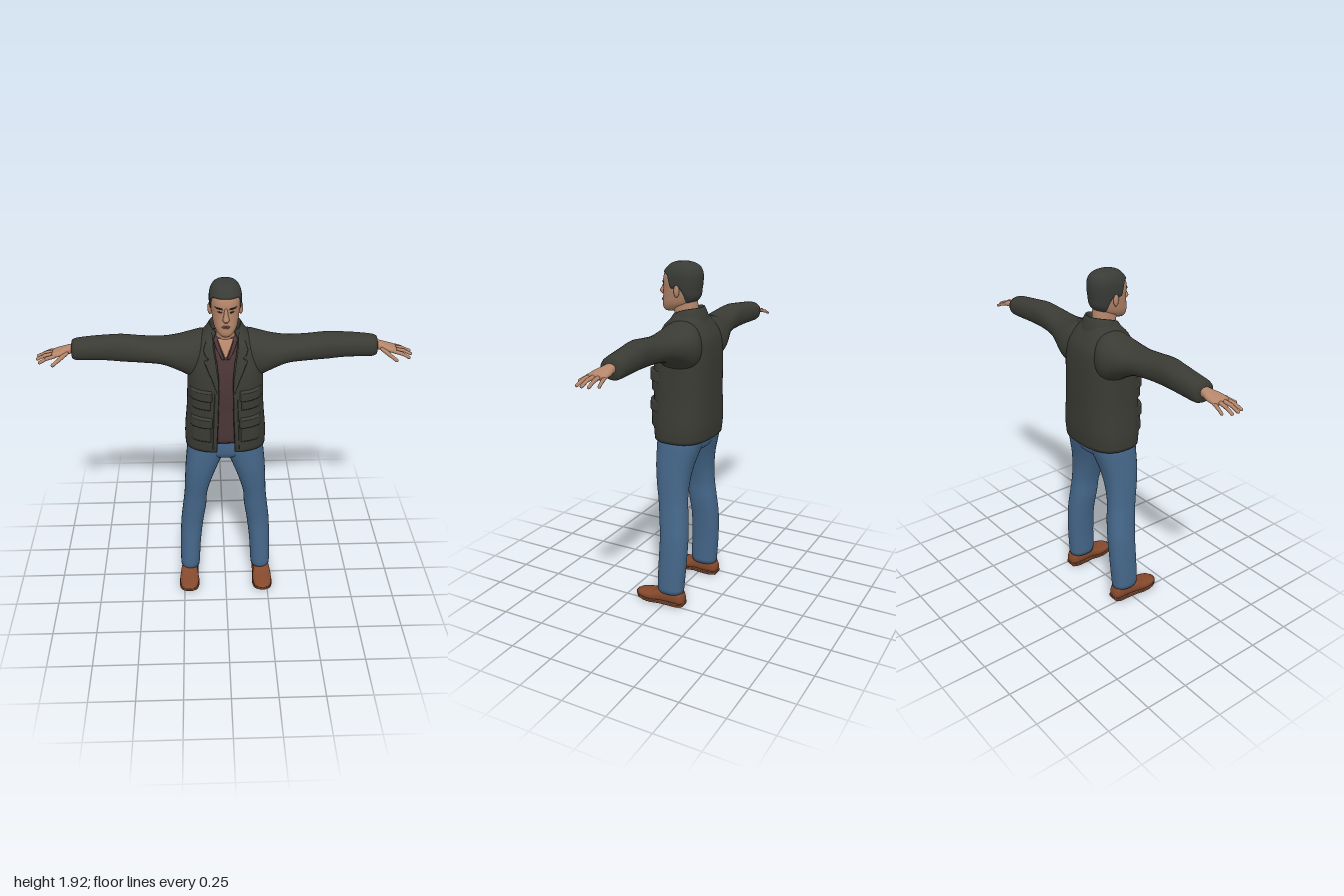
import * as THREE from 'three';
import { mergeVertices } from 'three/addons/utils/BufferGeometryUtils.js';

const { lerp, clamp } = THREE.MathUtils;
const TAU = Math.PI * 2;
const mat = (name, color) => Object.assign(
  new THREE.MeshStandardMaterial({ color, side: THREE.DoubleSide }), { name });

// Smooth surface from a rule fn(u, v) -> [x, y, z]
function grid(fn, nu, nv) {
  const pos = [], idx = [];
  for (let j = 0; j <= nv; j++)
    for (let i = 0; i <= nu; i++) pos.push(...fn(i / nu, j / nv));
  for (let j = 0; j < nv; j++)
    for (let i = 0; i < nu; i++) {
      const a = j * (nu + 1) + i, b = a + 1, c = a + nu + 1, d = c + 1;
      idx.push(a, b, d, a, d, c);
    }
  let g = new THREE.BufferGeometry();
  g.setAttribute('position', new THREE.Float32BufferAttribute(pos, 3));
  g.setIndex(idx);
  g = mergeVertices(g, 1e-5);
  g.computeVertexNormals();
  return g;
}

// Cubic interpolation of rows [t, ...values] at t
function sample(rows, t) {
  const last = rows.length - 1;
  t = clamp(t, rows[0][0], rows[last][0]);
  let i = 0;
  while (i < last - 1 && t > rows[i + 1][0]) i++;
  const p = rows[i], q = rows[i + 1], h = q[0] - p[0], s = (t - p[0]) / h;
  const slope = (k, c) => {
    const a = rows[Math.max(k - 1, 0)], b = rows[Math.min(k + 1, last)];
    return (b[c] - a[c]) / (b[0] - a[0]);
  };
  return p.slice(1).map((v, k) => {
    const c = k + 1, s2 = s * s, s3 = s2 * s;
    return v * (2 * s3 - 3 * s2 + 1) + q[c] * (3 * s2 - 2 * s3)
      + h * (slope(i, c) * (s3 - 2 * s2 + s) + slope(i + 1, c) * (s3 - s2));
  });
}

// Body surface through cross-sections [t, a0, a1, b0, b1], rounded by power n
function surface(rings, n) {
  const pw = (v) => Math.sign(v) * Math.abs(v) ** (2 / n);
  return {
    at(th, t, grow = 0, k = 1) {
      const [a0, a1, b0, b1] = sample(rings, t);
      return [(a0 + a1) / 2 + k * ((a1 - a0) / 2 + grow) * pw(Math.sin(th)),
        (b0 + b1) / 2 + k * ((b1 - b0) / 2 + grow) * pw(Math.cos(th))];
    },
    front(x, y) {
      const [a0, a1, b0, b1] = sample(rings, y);
      const r = Math.min(Math.abs(x - (a0 + a1) / 2) / ((a1 - a0) / 2), 0.995);
      return (b0 + b1) / 2 + (b1 - b0) / 2 * (1 - r ** n) ** (1 / n);
    },
    edgeAngle(x, y) {
      return Math.asin((x / sample(rings, y)[1]) ** (n / 2));
    },
  };
}

// Closed loft along an axis with capped ends
function loft(axis, rings, n = 2.2, nu = 32, nv = 34, grow = 0) {
  const s = surface(rings, n), t0 = rings[0][0], t1 = rings[rings.length - 1][0];
  return grid((u, v) => {
    const j = Math.round(v * nv), k = j === 0 || j === nv ? 0 : 1;
    const t = lerp(t0, t1, clamp((j - 1) / (nv - 2), 0, 1));
    const [a, b] = s.at(axis === 'z' ? -u * TAU : u * TAU, t, grow, k);
    return axis === 'y' ? [a, t, b] : axis === 'x' ? [t, b, a] : [a, b, t];
  }, nu, nv);
}

// Thin plate following the front of a surface, rows [y, x0, x1] upward
function plate(surf, rows, h, sink = 0.004, res = 18) {
  const y0 = rows[0][0], y1 = rows[rows.length - 1][0];
  return grid((u, v) => {
    const y = lerp(y0, y1, v);
    let i = 0;
    while (i < rows.length - 2 && y > rows[i + 1][0]) i++;
    const p = rows[i], q = rows[i + 1], f = (y - p[0]) / (q[0] - p[0]);
    const x = lerp(lerp(p[1], q[1], f), lerp(p[2], q[2], f), u);
    const e = clamp(9 * Math.min(u, 1 - u, v, 1 - v), 0, 1);
    return [x, y, surf.front(x, y) + lerp(-sink, h, e)];
  }, res, res);
}

// Rounded rod between two points
function rod(a, b, r) {
  const p = new THREE.Vector3(...a), q = new THREE.Vector3(...b), d = q.clone().sub(p);
  const g = new THREE.CapsuleGeometry(r, d.length(), 5, 10);
  g.applyQuaternion(new THREE.Quaternion().setFromUnitVectors(
    new THREE.Vector3(0, 1, 0), d.clone().normalize()));
  return g.translate(...p.add(q).multiplyScalar(0.5).toArray());
}

export function createModel() {
  const model = new THREE.Group();
  model.name = 'standingMan';
  const skin = mat('skin', 0xb5866a), lip = mat('lips', 0x96644f);
  const hairMat = mat('hair', 0x393b37), dark = mat('browsAndEyes', 0x2a2420);
  const cloth = mat('jacketCloth', 0x3a3b34), shirtMat = mat('shirt', 0x4b3536);
  const denim = mat('denim', 0x45678a), leather = mat('leather', 0x85492c);
  const soleMat = mat('sole', 0x6b3f2a);

  const add = (name, geo, m) => {
    const mesh = new THREE.Mesh(geo, m);
    mesh.name = name;
    model.add(mesh);
    return mesh;
  };
  const pair = (name, geo, m) => {
    add(name + 'Left', geo, m);
    add(name + 'Right', geo, m).scale.x = -1;
  };

  // Jacket body, open down the front
  const torsoRings = [
    [0.972, 0.222, 0.132, -0.182], [1.05, 0.223, 0.138, -0.19], [1.2, 0.21, 0.14, -0.19],
    [1.35, 0.204, 0.143, -0.19], [1.45, 0.2, 0.132, -0.188], [1.53, 0.185, 0.108, -0.178],
    [1.58, 0.16, 0.085, -0.155], [1.62, 0.125, 0.062, -0.13], [1.66, 0.09, 0.04, -0.105],
  ].map(([y, w, f, b]) => [y, -w, w, b, f]);
  const torso = surface(torsoRings, 2.6);
  const gap = [[0.972, 0.05], [1.2, 0.04], [1.38, 0.036], [1.5, 0.048], [1.6, 0.065], [1.66, 0.07]];
  add('jacketBody', grid((u, v) => {
    const y = lerp(0.972, 1.66, Math.max(0, (v * 40 - 1) / 39));
    const g = torso.edgeAngle(sample(gap, y)[0], y);
    const [x, z] = torso.at(lerp(g, TAU - g, u), y, v === 0 ? -0.02 : 0);
    return [x, y, z];
  }, 64, 40), cloth);

  // Shirt, bare throat and shirt collar
  const shirtRings = torsoRings.map(([y, a, b, c, d]) => [y, a + 0.02, b - 0.02, c + 0.02, d - 0.018])
    .slice(0, 8);
  shirtRings[0][0] = 1.02;
  const shirt = surface(shirtRings, 2.6);
  add('shirt', loft('y', shirtRings, 2.6), shirtMat);
  add('throat', plate(shirt, [[1.525, -0.003, 0.003], [1.6, -0.04, 0.04], [1.62, -0.045, 0.045]], 0.004), skin);
  pair('shirtCollar', plate(shirt, [[1.515, 0.002, 0.018], [1.57, 0.022, 0.05], [1.62, 0.042, 0.068]], 0.01), shirtMat);

  // Folded jacket collar
  const fold = [[0, 0.122, 0.105, 1.605], [0.3, 0.108, 0.095, 1.645], [0.6, 0.086, 0.08, 1.684],
    [0.75, 0.078, 0.072, 1.682], [1, 0.07, 0.064, 1.61]];
  add('jacketCollar', grid((u, v) => {
    const th = lerp(0.62, TAU - 0.62, u), [rx, rz, y] = sample(fold, v);
    const drop = 0.045 * ((1 + Math.cos(th)) / 2) ** 2;
    return [rx * Math.sin(th), y - drop, -0.03 + rz * Math.cos(th)];
  }, 48, 16), cloth);

  // Lapels with notch, front edges and pockets
  pair('lapel', plate(torso, [[1.33, 0.036, 0.042], [1.42, 0.036, 0.075], [1.515, 0.046, 0.118],
    [1.528, 0.05, 0.088], [1.54, 0.052, 0.11], [1.565, 0.056, 0.118], [1.63, 0.066, 0.095]], 0.01, 0.004, 40), cloth);
  pair('frontEdge', plate(torso, [[0.975, 0.048, 0.075], [1.2, 0.039, 0.068], [1.36, 0.036, 0.06]], 0.006), cloth);
  for (const [name, y0, y1, h] of [['chestPocket', 1.235, 1.35, 0.012], ['hipPocket', 1.035, 1.185, 0.012]]) {
    pair(name, plate(torso, [[y0, 0.08, 0.192], [y1, 0.078, 0.19]], h), cloth);
    pair(name + 'Flap', plate(torso, [[y1 - 0.055, 0.072, 0.196], [y1 - 0.045, 0.07, 0.198],
      [y1 + 0.008, 0.072, 0.192]], h + 0.01), cloth);
  }

  // Sleeves
  pair('sleeve', loft('x', [
    [0.05, -0.12, 0.04, 1.36, 1.63], [0.12, -0.165, 0.075, 1.36, 1.628], [0.18, -0.172, 0.085, 1.378, 1.612],
    [0.25, -0.152, 0.08, 1.418, 1.596], [0.33, -0.126, 0.066, 1.452, 1.59], [0.43, -0.108, 0.058, 1.464, 1.598],
    [0.54, -0.1, 0.045, 1.468, 1.61], [0.63, -0.106, 0.034, 1.473, 1.603], [0.72, -0.107, 0.024, 1.472, 1.594],
    [0.79, -0.104, 0.018, 1.472, 1.584], [0.806, -0.098, 0.012, 1.48, 1.577],
  ], 2.2, 32, 44), cloth);

  // Hands
  pair('palm', loft('x', [
    [0.78, -0.07, -0.012, 1.505, 1.557], [0.82, -0.072, -0.01, 1.507, 1.553], [0.855, -0.08, 0.012, 1.503, 1.542],
    [0.89, -0.08, 0.02, 1.501, 1.532], [0.91, -0.074, 0.014, 1.502, 1.526],
  ], 2.4, 20, 16), skin);
  const fingers = [
    [[0.895, 1.512, -0.069], [0.932, 1.504, -0.078], [0.962, 1.49, -0.084], 0.009],
    [[0.9, 1.515, -0.043], [0.95, 1.507, -0.046], [0.99, 1.49, -0.047], 0.01],
    [[0.9, 1.515, -0.016], [0.95, 1.507, -0.012], [0.99, 1.489, -0.009], 0.01],
    [[0.895, 1.512, 0.01], [0.938, 1.503, 0.02], [0.974, 1.485, 0.028], 0.01],
    [[0.835, 1.52, -0.005], [0.872, 1.502, 0.036], [0.902, 1.485, 0.062], 0.011],
  ];
  for (const [a, b, c, r] of fingers) {
    pair('fingerBase', rod(a, b, r), skin);
    pair('fingerTip', rod(b, c, r * 0.85), skin);
  }

  // Neck and head
  add('neck', loft('y', [[1.52, -0.06, 0.06, -0.09, 0.05], [1.62, -0.055, 0.055, -0.075, 0.05],
    [1.68, -0.053, 0.053, -0.075, 0.062], [1.74, -0.05, 0.05, -0.07, 0.06]]), skin);
  const headRings = [
    [1.656, 0.024, 0.055, 0.115], [1.672, 0.043, 0.01, 0.125], [1.7, 0.06, -0.05, 0.127],
    [1.74, 0.069, -0.083, 0.123], [1.78, 0.074, -0.09, 0.12], [1.82, 0.077, -0.095, 0.122],
    [1.86, 0.075, -0.094, 0.112], [1.89, 0.062, -0.08, 0.088], [1.906, 0.044, -0.055, 0.064],
    [1.914, 0.022, -0.025, 0.035],
  ].map(([y, w, b, f]) => [y, -w, w, b, f]);
  const head = surface(headRings, 2.2);
  add('head', loft('y', headRings, 2.2, 40, 44), skin);

  // Hair cap with hairline dropping from forehead to nape
  const hairline = [[-1, 1.706], [-0.6, 1.715], [-0.15, 1.785], [0.1, 1.782], [0.3, 1.788],
    [0.42, 1.835], [0.6, 1.855], [1, 1.86]];
  add('hair', grid((u, v) => {
    const th = u * TAU, w = Math.min(1, v / 0.96);
    const y = lerp(sample(hairline, Math.cos(th))[0], 1.914, w);
    const [x, z] = head.at(th, y, 0.007 * Math.min(1, 0.2 + w * 6), v === 1 ? 0 : 1);
    return [x, y + 0.006 * w * w, z];
  }, 64, 32), hairMat);

  // Face
  add('nose', loft('y', [[1.742, -0.013, 0.013, 0.1, 0.136], [1.756, -0.017, 0.017, 0.1, 0.151],
    [1.78, -0.011, 0.011, 0.1, 0.139], [1.815, -0.008, 0.008, 0.1, 0.124]], 2, 16, 16), skin);
  pair('eyebrow', plate(head, [[1.807, 0.014, 0.05], [1.816, 0.02, 0.06]], 0.004), dark);
  pair('eye', plate(head, [[1.787, 0.024, 0.036], [1.792, 0.018, 0.045], [1.797, 0.024, 0.04]], 0.002), dark);
  add('upperLip', plate(head, [[1.716, -0.026, 0.026], [1.724, -0.012, 0.012]], 0.006), lip);
  add('lowerLip', plate(head, [[1.706, -0.014, 0.014], [1.715, -0.025, 0.025]], 0.006), lip);
  const ear = new THREE.SphereGeometry(1, 14, 10).scale(0.011, 0.032, 0.019);
  pair('ear', ear.rotateY(-0.3).translate(0.08, 1.772, 0.008), skin);

  // Jeans
  add('jeansHips', loft('y', [[0.885, -0.05, 0.05, -0.09, 0.05], [0.91, -0.13, 0.13, -0.135, 0.085],
    [0.95, -0.19, 0.19, -0.15, 0.1], [1.05, -0.19, 0.19, -0.155, 0.105]], 2.4), denim);
  pair('jeansLeg', loft('y', [
    [0.076, 0.158, 0.27, -0.1, 0.05], [0.1, 0.156, 0.272, -0.102, 0.055], [0.25, 0.147, 0.269, -0.113, 0.05],
    [0.4, 0.13, 0.262, -0.117, 0.046], [0.52, 0.112, 0.248, -0.11, 0.056], [0.62, 0.104, 0.237, -0.101, 0.066],
    [0.72, 0.078, 0.232, -0.102, 0.082], [0.82, 0.042, 0.226, -0.116, 0.095], [0.9, 0.008, 0.218, -0.138, 0.1],
    [0.97, -0.02, 0.21, -0.155, 0.102], [1.03, -0.02, 0.19, -0.155, 0.1],
  ], 2.3, 32, 44), denim);

  // Shoes: [z, half width, sole bottom, top]
  const last = [[-0.11, 0.026, 0.004, 0.06], [-0.09, 0.042, 0, 0.09], [-0.03, 0.046, 0, 0.1],
    [0.03, 0.05, 0.003, 0.09], [0.08, 0.056, 0, 0.066], [0.13, 0.054, 0.002, 0.056],
    [0.17, 0.04, 0.009, 0.048], [0.19, 0.015, 0.018, 0.036]];
  const cx = (z) => 0.217 + (z > 0 ? 0.004 : 0);
  pair('shoe', loft('z', last.map(([z, w, lo, hi]) =>
    [z, cx(z) - w, cx(z) + w, lo + 0.006, hi]), 2.5, 28, 30), leather);
  pair('shoeSole', loft('z', last.map(([z, w, lo]) =>
    [z, cx(z) - w - 0.004, cx(z) + w + 0.004, lo, lo + 0.02]), 5, 28, 30), soleMat);
  pair('shoeHeel', loft('z', [[-0.108, 0.18, 0.252, 0, 0.022], [-0.06, 0.17, 0.264, 0, 0.022],
    [-0.03, 0.172, 0.262, 0, 0.022]], 5, 24, 10), soleMat);

  return model;
}
